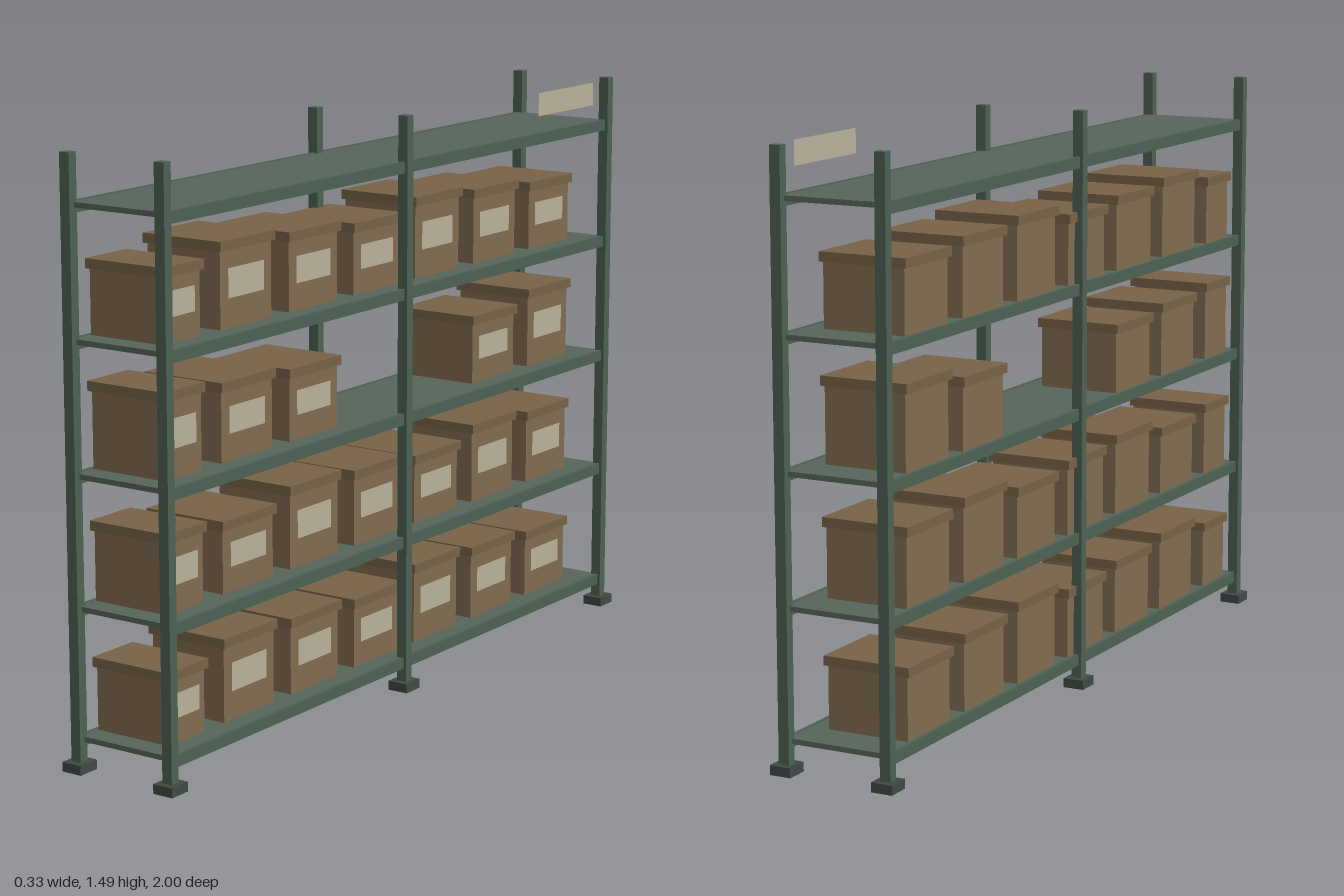
import * as THREE from 'three';

const mat = (name, color, side = THREE.FrontSide) => {
  const m = new THREE.MeshStandardMaterial({ color, side });
  m.name = name;
  return m;
};

export function createModel() {
  const root = new THREE.Group();
  root.name = 'archiveShelving';

  const post = mat('frame green', 0x4c6052);
  const deck = mat('shelf green', 0x56645a);
  const foot = mat('foot dark green', 0x3f4a43);
  const card = mat('cardboard', 0x806b4f);
  const lidMat = mat('lid cardboard', 0x776247);
  const paper = mat('label paper', 0xb8b09a, THREE.DoubleSide);

  const box = (name, w, h, d, x, y, z, m, parent = root) => {
    const mesh = new THREE.Mesh(new THREE.BoxGeometry(w, h, d), m);
    mesh.name = name;
    mesh.position.set(x, y, z);
    parent.add(mesh);
  };
  // Flat paper card facing +x
  const plate = (name, w, h, x, y, z, parent = root) => {
    const mesh = new THREE.Mesh(new THREE.PlaneGeometry(w, h), paper);
    mesh.name = name;
    mesh.rotation.y = Math.PI / 2;
    mesh.position.set(x, y, z);
    parent.add(mesh);
  };

  // Six uprights on foot pads
  for (const x of [-0.138, 0.138]) {
    for (const z of [-0.97, 0, 0.97]) {
      box('foot', 0.056, 0.024, 0.06, x, 0.012, z, foot);
      box('upright', 0.028, 1.463, 0.026, x, 0.7555, z, post);
    }
  }

  // Five decks with a deeper beam along each long edge
  const shelfTops = [0.086, 0.407, 0.729, 1.05, 1.371];
  for (const top of shelfTops) {
    box('shelfDeck', 0.276, 0.013, 1.934, 0, top - 0.0065, 0, deck);
    for (const s of [-1, 1]) {
      box('shelfBeam', 0.01, 0.029, 1.934, s * 0.139, top - 0.0135, 0, post);
    }
  }

  // Storage boxes: three heights, cycling along each row; 0 is an empty slot
  const S = 0.182, M = 0.197, L = 0.212;
  const rows = [
    [S, L, M, S, L, M, S],
    [M, S, L, M, S, L, M],
    [L, M, S, 0, 0, S, L],
    [S, L, M, S, L, M, S],
  ];
  const lidH = 0.024;
  rows.forEach((row, r) => row.forEach((h, i) => {
    if (!h) return;
    const width = i === 0 ? 0.136 : 0.2;
    const g = new THREE.Group();
    g.name = 'storageBox';
    g.position.set(-0.022, shelfTops[r], i === 0 ? 0.84 : 0.866 - i * 0.2715);
    box('boxBody', 0.216, h - lidH, width, 0, (h - lidH) / 2, 0, card, g);
    box('boxLid', 0.232, lidH, width + 0.015, 0, h - lidH / 2, 0, lidMat, g);
    plate('boxLabel', width * 0.7, h * 0.34, 0.1095, h * 0.51, 0, g);
    root.add(g);
  }));

  // Blank aisle sign above the top shelf
  plate('aisleSign', 0.276, 0.061, 0.165, 1.454, -0.718);

  return root;
}
